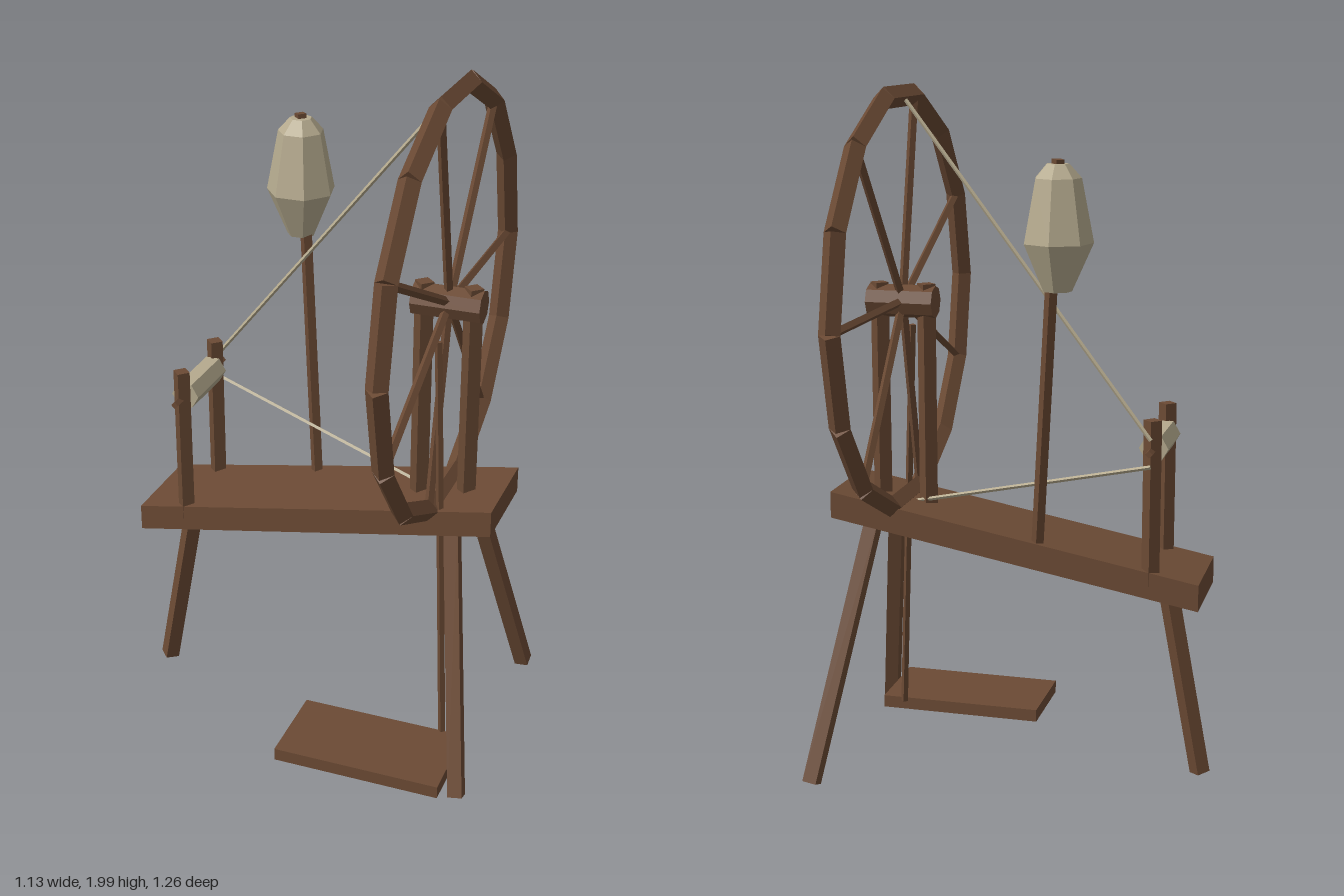
import * as THREE from 'three';

export function createModel() {
  const model = new THREE.Group();
  model.name = 'spinningWheel';

  const wood = new THREE.MeshStandardMaterial({ color: 0x6b4a34, flatShading: true });
  wood.name = 'brownWood';
  const fibre = new THREE.MeshStandardMaterial({ color: 0xb5aa8e, flatShading: true });
  fibre.name = 'paleFibre';

  const add = (name, geometry, material, parent = model) => {
    const mesh = new THREE.Mesh(geometry, material);
    mesh.name = name;
    parent.add(mesh);
    return mesh;
  };

  // Straight low-poly rod between two points
  const rod = (name, from, to, radius, { sides = 4, roll = 0, material = wood, parent = model } = {}) => {
    const a = new THREE.Vector3(...from);
    const b = new THREE.Vector3(...to);
    const dir = b.clone().sub(a);
    const geometry = new THREE.CylinderGeometry(radius, radius, dir.length(), sides);
    geometry.rotateY(roll);
    const mesh = add(name, geometry, material, parent);
    mesh.position.copy(a).add(b).multiplyScalar(0.5);
    mesh.quaternion.setFromUnitVectors(new THREE.Vector3(0, 1, 0), dir.normalize());
    return mesh;
  };

  // Sloping bench with upright ends
  const side = new THREE.Shape([
    new THREE.Vector2(-0.547, 0.557),
    new THREE.Vector2(0.545, 0.755),
    new THREE.Vector2(0.545, 0.833),
    new THREE.Vector2(-0.547, 0.635),
  ]);
  const bench = new THREE.ExtrudeGeometry(side, { depth: 0.286, bevelEnabled: false });
  bench.translate(0, 0, -0.143);
  add('bench', bench, wood);

  // Three splayed legs
  rod('singleLeg', [-0.43, 0.61, 0], [-0.542, 0.012, 0], 0.03);
  for (const s of [1, -1]) {
    rod('splayedLeg', [0.42, 0.77, s * 0.1], [0.54, 0.015, s * 0.368], 0.03);
  }

  // Drive wheel: rim of straight pieces, spokes and hub
  const wheel = new THREE.Group();
  wheel.name = 'driveWheel';
  wheel.position.set(0.36, 1.384, 0);
  model.add(wheel);
  const onRim = (angle, r) => [0, Math.sin(angle) * r, -Math.cos(angle) * r];
  const rimPieces = 14;
  for (let i = 0; i < rimPieces; i++) {
    const step = (Math.PI * 2) / rimPieces;
    rod('rimPiece', onRim(i * step, 0.6), onRim((i + 1) * step, 0.6), 0.031, { parent: wheel });
  }
  for (let i = 0; i < 7; i++) {
    rod('spoke', [0, 0, 0], onRim((i * Math.PI * 2) / 7, 0.59), 0.013, { parent: wheel });
  }
  rod('hub', [-0.1, 0, 0], [0.1, 0, 0], 0.048, { sides: 8, parent: wheel });

  // Wheel posts
  for (const x of [0.288, 0.43]) {
    rod('wheelPost', [x, 0.74, 0], [x, 1.437, 0], 0.028);
  }

  // Bobbin, its spindle and two small posts
  for (const z of [-0.118, 0.118]) {
    rod('bobbinPost', [-0.405, 0.62, z], [-0.405, 1.098, z], 0.026);
  }
  rod('spindle', [-0.405, 1.012, -0.172], [-0.405, 1.012, 0.172], 0.011);
  rod('bobbin', [-0.405, 1.012, -0.1], [-0.405, 1.012, 0.1], 0.042,
    { sides: 6, roll: Math.PI / 2, material: fibre });

  // Drive cord, upper and lower runs
  rod('driveCord', [-0.405, 1.045, -0.145], [0.36, 1.985, -0.005], 0.006, { material: fibre });
  rod('driveCord', [-0.405, 0.969, -0.145], [0.36, 0.778, -0.005], 0.006, { material: fibre });

  // Distaff with its bundle of fibre
  rod('distaff', [-0.073, 0.68, -0.117], [-0.145, 1.815, -0.175], 0.018);
  const profile = [
    [0, 1.457], [0.041, 1.457], [0.1, 1.59], [0.066, 1.765], [0.032, 1.803], [0, 1.803],
  ].map(([r, y]) => new THREE.Vector2(r, y));
  const bundle = add('fibreBundle', new THREE.LatheGeometry(profile, 7, Math.PI), fibre);
  bundle.position.set(-0.143, 0, -0.173);

  // Treadle and the rod that links it to the wheel
  const treadle = add('treadle', new THREE.BoxGeometry(0.5, 0.038, 0.26), wood);
  treadle.position.set(0.251, 0.062, 0.302);
  rod('treadleRod', [0.433, 0.07, 0.172], [0.36, 1.3, 0.086], 0.011);

  return model;
}
